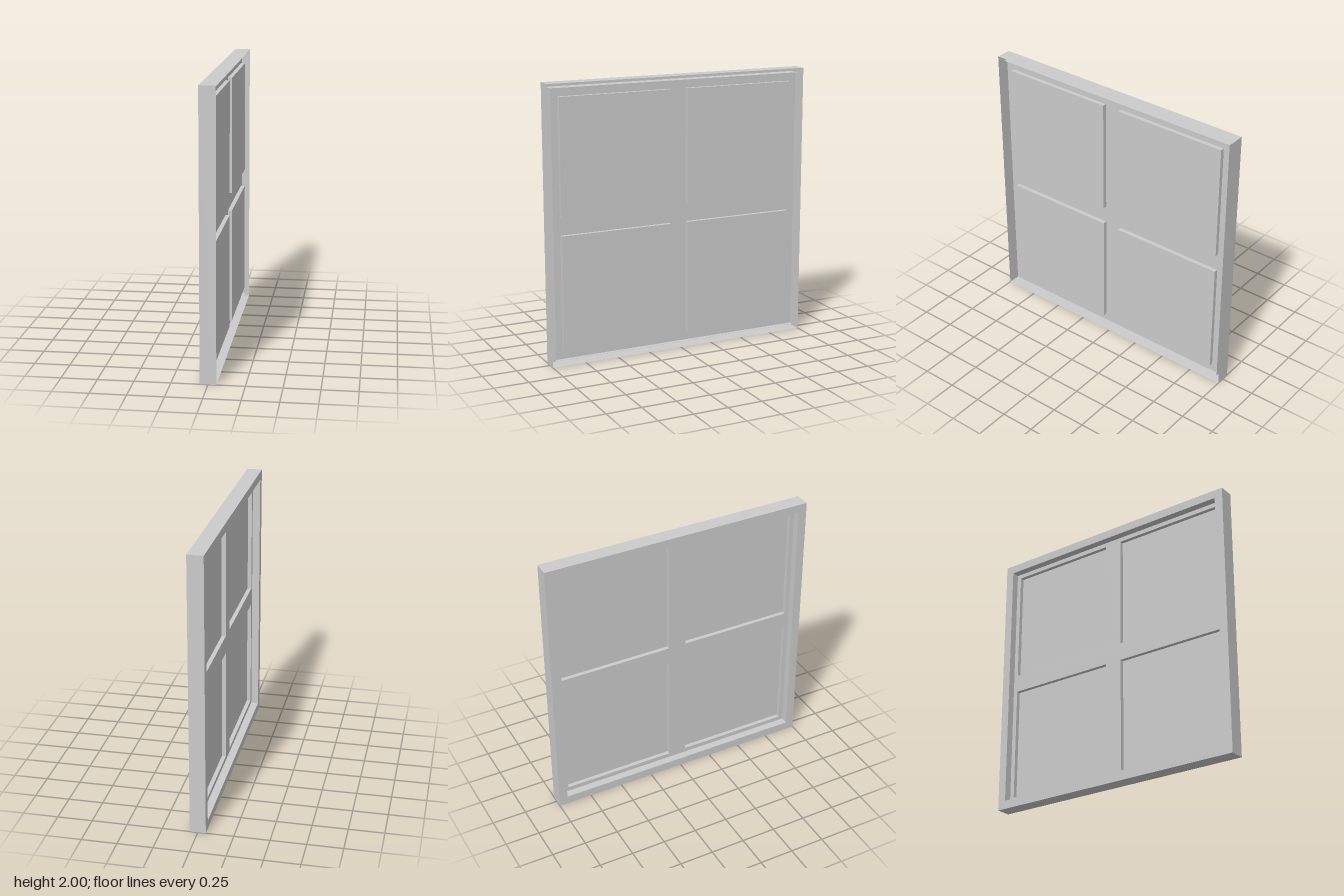
import * as THREE from 'three';

const material = new THREE.MeshStandardMaterial({ color: 0xcccccc, side: THREE.DoubleSide, flatShading: true });

// Depth levels along x and half sizes of the nested squares
const BACK = -0.056, FRONT = 0.056, GRID = 0, PANE = 0.03;
const OUTER = 1, SASH = 0.966, LIP = 0.937;
const PANE_HALF = 0.419, PANE_OFFSET = 0.485;

function add(group, name, geometry, x, y = 0, z = 0) {
  const mesh = new THREE.Mesh(geometry, material);
  mesh.name = name;
  mesh.position.set(x, y, z);
  group.add(mesh);
}

// Open square sleeve running along x from x0 to x1
function sleeve(group, name, half, x0, x1, y = 0, z = 0) {
  const r = half * Math.SQRT2;
  const g = new THREE.CylinderGeometry(r, r, x1 - x0, 4, 1, true, Math.PI / 4);
  g.rotateZ(Math.PI / 2);
  add(group, name, g, (x0 + x1) / 2, y, z);
}

function square(path, half, cx = 0, cy = 0) {
  path.moveTo(cx - half, cy - half);
  path.lineTo(cx + half, cy - half);
  path.lineTo(cx + half, cy + half);
  path.lineTo(cx - half, cy + half);
  path.closePath();
  return path;
}

// Flat square sheet facing x, with square holes [half, cx, cy]
function sheet(group, name, half, holes, x, y = 0, z = 0) {
  const shape = square(new THREE.Shape(), half);
  for (const h of holes) shape.holes.push(square(new THREE.Path(), ...h));
  const g = new THREE.ShapeGeometry(shape);
  g.rotateY(Math.PI / 2);
  add(group, name, g, x, y, z);
}

export function createModel() {
  const model = new THREE.Group();
  model.name = 'window';
  const body = new THREE.Group();
  body.name = 'windowBody';
  body.position.y = 1;
  model.add(body);

  // Outer casing and its border, open on the other side
  sleeve(body, 'outerCasing', OUTER, BACK, FRONT);
  sheet(body, 'border', OUTER, [[LIP]], BACK);
  sleeve(body, 'borderReveal', LIP, BACK, GRID);

  // Sash rim and the cross-shaped grid
  sleeve(body, 'sashRim', SASH, BACK, PANE);
  const corners = [];
  for (const y of [-1, 1]) for (const z of [-1, 1]) corners.push([y * PANE_OFFSET, z * PANE_OFFSET]);
  sheet(body, 'glazingGrid', SASH, corners.map(([y, z]) => [PANE_HALF, z, y]), GRID);

  // Four panes, each set in a shallow reveal
  for (const [y, z] of corners) {
    sleeve(body, 'paneReveal', PANE_HALF, GRID, PANE, y, z);
    sheet(body, 'pane', PANE_HALF, [], PANE, y, z);
  }
  return model;
}
